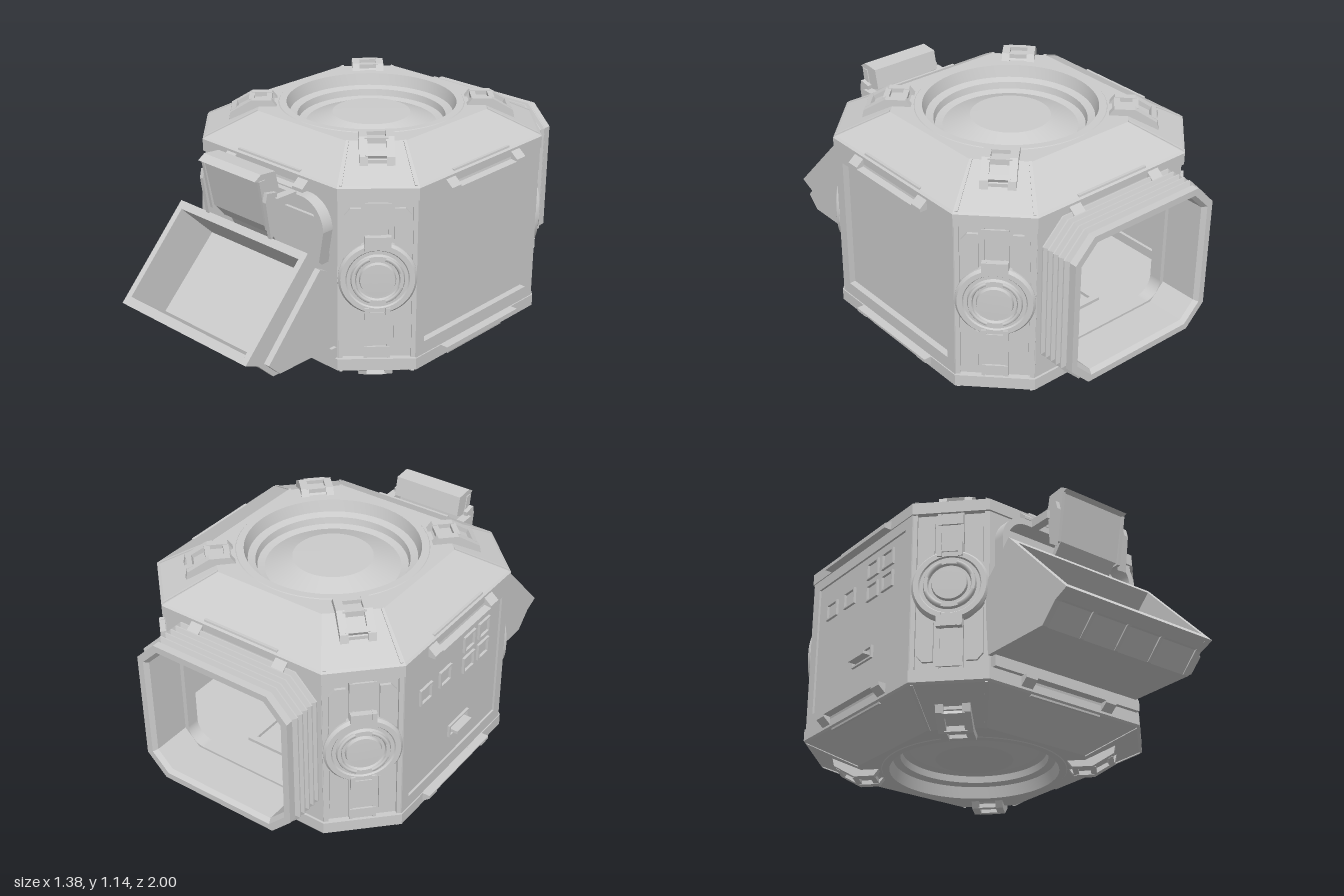
import * as THREE from 'three';
import { toCreasedNormals } from 'three/addons/utils/BufferGeometryUtils.js';

const mat = new THREE.MeshStandardMaterial({ color: 0xcccccc, side: THREE.DoubleSide });
const MID = 0.57, CZ = -0.15;

function add(parent, name, geo, x = 0, y = 0, z = 0) {
  const m = new THREE.Mesh(geo, mat);
  m.name = name;
  m.position.set(x, y, z);
  parent.add(m);
  return m;
}
const box = (p, name, w, h, d, x, y, z) => add(p, name, new THREE.BoxGeometry(w, h, d), x, y, z);

// Rectangle with cut corners, counter-clockwise
const oct = (a, b, c) => [[a, c - b], [a, b - c], [a - c, b], [c - a, b], [-a, b - c], [-a, c - b], [c - a, -b], [a - c, -b]];

const toShape = (pts) => new THREE.Shape(pts.map(([u, v]) => new THREE.Vector2(u, v)));

// Plate in the XY plane, extruded along z, with optional holes
function plate(outline, depth, holes = []) {
  const s = outline instanceof THREE.Shape ? outline : toShape(outline);
  holes.forEach((h) => s.holes.push(h instanceof THREE.Path ? h : toShape(h)));
  return new THREE.ExtrudeGeometry(s, { depth, bevelEnabled: false, curveSegments: 24 });
}
const rect = (a, y0, y1) => [[-a, y0], [a, y0], [a, y1], [-a, y1]];

function roundRect(a, y0, y1, r) {
  const s = new THREE.Shape();
  s.absarc(a - r, y0 + r, r, -Math.PI / 2, 0);
  s.absarc(a - r, y1 - r, r, 0, Math.PI / 2);
  s.absarc(r - a, y1 - r, r, Math.PI / 2, Math.PI);
  s.absarc(r - a, y0 + r, r, Math.PI, Math.PI * 1.5);
  return s;
}

// Upside-down U with rounded shoulders
function arch(a, y0, y1, r, t) {
  const s = new THREE.Shape();
  s.moveTo(a, y0);
  s.absarc(a - r, y1 - r, r, 0, Math.PI / 2);
  s.absarc(r - a, y1 - r, r, Math.PI / 2, Math.PI);
  s.lineTo(-a, y0);
  s.lineTo(t - a, y0);
  s.absarc(r - a, y1 - r, r - t, Math.PI, Math.PI / 2, true);
  s.absarc(a - r, y1 - r, r - t, Math.PI / 2, 0, true);
  s.lineTo(a - t, y0);
  return s;
}

// Side profile given as [z, y], extruded across x
function slab(parent, name, pts, width, x = 0) {
  const g = plate(pts, width);
  g.translate(0, 0, -width / 2).rotateY(-Math.PI / 2);
  return add(parent, name, g, x);
}

// Flat-sided skin through rings of [points, height], along y
function loft(rings) {
  const pos = [];
  const put = ([pts, t], i) => pos.push(pts[i % pts.length][0], t, -pts[i % pts.length][1]);
  for (let r = 0; r < rings.length - 1; r++) {
    const a = rings[r], b = rings[r + 1];
    for (let i = 0; i < a[0].length; i++) {
      put(a, i); put(a, i + 1); put(b, i + 1);
      put(a, i); put(b, i + 1); put(b, i);
    }
  }
  const g = new THREE.BufferGeometry();
  g.setAttribute('position', new THREE.Float32BufferAttribute(pos, 3));
  g.computeVertexNormals();
  return g;
}

function lathe(pts, seg = 64) {
  return toCreasedNormals(new THREE.LatheGeometry(pts.map(([r, y]) => new THREE.Vector2(r, y)), seg).deleteAttribute('normal'), 0.2);
}

// Turned group, local +z pointing outward
function spoke(parent, name, angle) {
  const g = new THREE.Group();
  g.name = name;
  g.rotation.y = angle;
  parent.add(g);
  return g;
}

// Sloped cap with round dish, edge tabs and corner clamps
function makeCap() {
  const cap = new THREE.Group();
  add(cap, 'capSlope', loft([
    [oct(0.63, 0.63, 0.235), 0.94], [oct(0.655, 0.655, 0.24), 0.94],
    [oct(0.655, 0.655, 0.24), 0.995], [oct(0.645, 0.645, 0.238), 1.003], [oct(0.45, 0.45, 0.18), 1.11],
  ]));
  const hole = new THREE.Path().absarc(0, 0, 0.42, 0, Math.PI * 2);
  add(cap, 'capDeck', plate(oct(0.45, 0.45, 0.18), 0.02, [hole]).rotateX(-Math.PI / 2), 0, 1.09);
  add(cap, 'capDish', lathe([[0.43, 1.1], [0.418, 1.113], [0.385, 1.113], [0.37, 1.06], [0.337, 1.05],
    [0.33, 1.02], [0.298, 1.012], [0.177, 1.06], [0, 1.063]]));
  add(cap, 'innerCeiling', plate(oct(0.63, 0.63, 0.235), 0.02).rotateX(-Math.PI / 2), 0, 0.925);
  for (let k = 0; k < 4; k++) {
    const side = spoke(cap, 'edgeTab', k * Math.PI / 2);
    for (const s of [-1, 1]) {
      slab(side, 'tabEnd', [[0.6, 0.94], [0.69, 0.94], [0.69, 0.955], [0.615, 1.018]], 0.06, s * 0.22);
    }
    slab(side, 'tabMiddle', [[0.6, 0.94], [0.69, 0.94], [0.69, 0.946], [0.657, 0.95], [0.645, 1.01], [0.6, 1.01]], 0.38);
    const corner = spoke(cap, 'cornerClamp', Math.PI / 4 + k * Math.PI / 2);
    const rail = [[0.42, 1.1], [0.45, 1.14], [0.54, 1.14], [0.635, 1.085], [0.645, 1.04], [0.5, 1.1]];
    for (const s of [-1, 1]) slab(corner, 'clampRail', rail, 0.035, s * 0.057);
    slab(corner, 'clampBed', [[0.43, 1.1], [0.45, 1.12], [0.53, 1.12], [0.63, 1.07], [0.63, 1.04], [0.5, 1.1]], 0.1);
    for (const [z, y] of [[0.46, 1.125], [0.54, 1.125], [0.615, 1.084]]) {
      box(corner, 'clampRung', 0.1, 0.025, 0.025, 0, y, z).rotation.x = z > 0.55 ? 0.5 : 0;
    }
    // Raised seams along the slope edges
    for (const s of [-1, 1]) {
      const from = new THREE.Vector3(s * 0.155, 1.0, 0.745), to = new THREE.Vector3(s * 0.12, 1.108, 0.51);
      const seam = box(corner, 'slopeSeam', 0.012, 0.012, from.distanceTo(to), 0, 0, 0);
      seam.position.copy(from).lerp(to, 0.5);
      seam.lookAt(to.clone().applyAxisAngle(new THREE.Vector3(0, 1, 0), corner.rotation.y));
    }
  }
  return cap;
}

// Corner column with round medallion and latches
function makeColumn(parent, angle) {
  const c = spoke(parent, 'cornerColumn', angle);
  box(c, 'columnWall', 0.34, 0.76, 0.04, 0, MID, 0.71);
  box(c, 'columnSpine', 0.085, 0.74, 0.02, 0, MID, 0.733);
  for (const s of [-1, 1]) {
    box(c, 'columnEdge', 0.022, 0.74, 0.025, s * 0.158, MID, 0.733);
    box(c, 'spineRod', 0.015, 0.74, 0.025, s * 0.05, MID, 0.735);
    for (const v of [-1, 1]) {
      const pts = [[0.07, 0.33], [0.07, 0.15], [0.14, 0.09], [0.14, 0.3], [0.115, 0.33]].map(([x, y]) => [s * x, MID + v * y]);
      add(c, 'columnPanel', plate(pts, 0.014), 0, 0, 0.729);
    }
  }
  const medal = lathe([[0.167, 0], [0.167, 0.022], [0.157, 0.035], [0.135, 0.035], [0.13, 0.028], [0.115, 0.028],
    [0.11, 0.042], [0.095, 0.042], [0.09, 0.03], [0.078, 0.03], [0.074, 0.045], [0, 0.047]], 48);
  add(c, 'medallion', medal.rotateX(Math.PI / 2), 0, MID + 0.015, 0.73);
  for (let k = 0; k < 4; k++) {
    const arc = new THREE.TorusGeometry(0.103, 0.01, 6, 10, 0.9);
    add(c, 'medallionArc', arc.rotateZ(k * Math.PI / 2 + 0.35), 0, MID + 0.015, 0.77);
  }
  for (const v of [-1, 1]) {
    box(c, 'latch', 0.09, 0.04, 0.04, 0, MID + 0.015 + v * 0.175, 0.75);
    for (const s of [-1, 1]) box(c, 'latchArm', 0.02, 0.065, 0.045, s * 0.045, MID + 0.015 + v * 0.165, 0.75);
    box(c, 'columnBracket', 0.11, 0.045, 0.03, 0, MID + v * 0.335, 0.737);
  }
}

// Tilted deep tray on the front
function makeTray(root) {
  const t = new THREE.Group();
  t.name = 'frontTray';
  root.add(t);
  const w = 0.8, cx = -0.02;
  const side = [[1, 0.36], [0.93, 0.33], [0.85, 0.25], [0.5, 0.25], [0.475, 0.575], [0.64, 0.74]];
  for (const s of [-1, 1]) slab(t, 'traySide', side, 0.03, cx + s * (w / 2 - 0.015));
  slab(t, 'trayTopWall', [[0.64, 0.74], [0.665, 0.713], [0.495, 0.543], [0.475, 0.575]], w - 0.06, cx);
  slab(t, 'trayLip', [[1, 0.36], [0.972, 0.39], [0.79, 0.25], [0.845, 0.25], [0.925, 0.335], [0.94, 0.335]], w - 0.06, cx);
  slab(t, 'trayFloor', [[0.475, 0.565], [0.495, 0.543], [0.79, 0.25], [0.5, 0.25]], w - 0.06, cx);
  for (let i = 1; i < 4; i++) {
    slab(t, 'trayRib', [[0.94, 0.335], [0.93, 0.33], [0.85, 0.25], [0.845, 0.25], [0.92, 0.335]], 0.02, -0.4 + i * 0.185);
  }
  slab(t, 'trayHinge', [[0.52, 0.27], [0.84, 0.27], [0.9, 0.33], [0.6, 0.66], [0.56, 0.64]], 0.032, 0.394);
}

// Hooded screen above the tray
function makeScreen(root) {
  const g = new THREE.Group();
  g.name = 'hoodedScreen';
  root.add(g);
  slab(g, 'screenHood', [[0.735, 1.025], [0.7, 1.047], [0.62, 1.04], [0.6, 0.95], [0.65, 0.93], [0.69, 1.01]], 0.35);
  slab(g, 'screenPanel', [[0.66, 1.02], [0.71, 1.02], [0.665, 0.8], [0.635, 0.8]], 0.33);
  slab(g, 'screenChin', [[0.635, 0.81], [0.665, 0.8], [0.62, 0.745], [0.605, 0.755]], 0.31);
  slab(g, 'screenStrut', [[0.64, 0.9], [0.65, 0.82], [0.575, 0.685], [0.55, 0.67], [0.56, 0.72]], 0.26);
  for (const s of [-1, 1]) {
    slab(g, 'screenRim', [[0.68, 1.02], [0.715, 1.02], [0.675, 0.79], [0.635, 0.79]], 0.015, s * 0.172);
    slab(g, 'screenArm', [[0.64, 0.96], [0.695, 0.97], [0.705, 0.93], [0.68, 0.76], [0.65, 0.78]], 0.02, s * 0.195);
    box(g, 'armBracket', 0.04, 0.04, 0.11, s * 0.2, 0.92, 0.6);
  }
}

export function createModel() {
  const root = new THREE.Group();
  root.name = 'octagonalModule';
  const body = new THREE.Group();
  body.name = 'body';
  body.position.z = CZ;
  root.add(body);

  const roof = makeCap();
  roof.name = 'roof';
  const base = makeCap();
  base.name = 'base';
  base.rotation.z = Math.PI;
  base.position.y = 2 * MID;
  body.add(roof, base);
  for (let k = 0; k < 4; k++) makeColumn(body, Math.PI / 4 + k * Math.PI / 2);

  // Walls: open front and back, closed sides
  const outline = rect(0.41, 0.19, 0.95);
  add(body, 'frontWall', plate(outline, 0.04, [roundRect(0.36, 0.26, 0.91, 0.1)]), 0, 0, 0.605);
  add(body, 'backWall', plate(outline, 0.04, [roundRect(0.34, 0.28, 0.92, 0.08)]), 0, 0, -0.645);
  for (const s of [-1, 1]) {
    const wall = spoke(body, s > 0 ? 'rightSide' : 'leftSide', s * Math.PI / 2);
    add(wall, 'sideFrame', plate(outline, 0.045, [rect(0.36, 0.26, 0.89)]), 0, 0, 0.605);
    box(wall, 'sidePanel', 0.74, 0.65, 0.02, 0, 0.575, s > 0 ? 0.61 : 0.63);
    if (s > 0) continue;
    // Small framed ports and a handle on one side only
    const ports = [[-0.24, 0.74], [-0.09, 0.74], [0.1, 0.81], [0.22, 0.81], [0.1, 0.7], [0.22, 0.7]];
    for (const [x, y] of ports) {
      add(wall, 'portFrame', plate(rect(0.045, -0.04, 0.04), 0.012, [rect(0.036, -0.032, 0.032)]), x, y, 0.64);
    }
    add(wall, 'handleFrame', plate(rect(0.08, -0.03, 0.03), 0.012, [rect(0.07, -0.022, 0.022)]), 0.04, 0.4, 0.64);
    box(wall, 'handle', 0.12, 0.015, 0.04, 0.04, 0.395, 0.66);
  }

  // Front doorway arch, with a slatted panel behind it
  add(root, 'doorArch', plate(arch(0.38, 0.64, 0.93, 0.13, 0.03), 0.06), 0, 0, 0.49);
  box(root, 'doorLintel', 0.5, 0.03, 0.06, 0, 0.915, 0.52);
  box(root, 'doorSill', 0.8, 0.05, 0.05, 0, 0.225, 0.5);
  box(root, 'doorPanel', 0.8, 0.7, 0.02, 0, 0.58, 0.43);
  for (const y of [0.79, 0.87]) box(root, 'doorSlat', 0.66, 0.02, 0.02, 0, y, 0.445);

  // Bellows tunnel at the back
  const rings = [];
  const ring = (d, t) => rings.push([oct(0.375 + d, 0.34 + d, 0.09 + d * 0.5), t]);
  ring(0, 0.78);
  for (let i = 0; i < 5; i++) {
    const t = 0.805 + i * 0.031;
    ring(0, t); ring(0.027, t + 0.012); ring(0.027, t + 0.018); ring(0, t + 0.03);
  }
  ring(0.015, 0.965); ring(0.015, 1.0); ring(-0.015, 1.0); ring(-0.03, 0.98); ring(-0.03, 0.77);
  add(root, 'bellowsTunnel', loft(rings).rotateX(-Math.PI / 2), 0, 0.6);
  const inner = roundRect(0.35, 0.27, 0.93, 0.1);
  add(root, 'innerDoorFrame', plate(inner, 0.06, [roundRect(0.325, 0.3, 0.9, 0.08)]), 0, 0, -0.8);
  add(root, 'floorHatch', plate(rect(0.18, -0.12, 0.12), 0.02, [rect(0.15, -0.09, 0.09)]).rotateX(-Math.PI / 2), 0, 0.21, -0.45);

  makeTray(root);
  makeScreen(root);
  return root;
}
